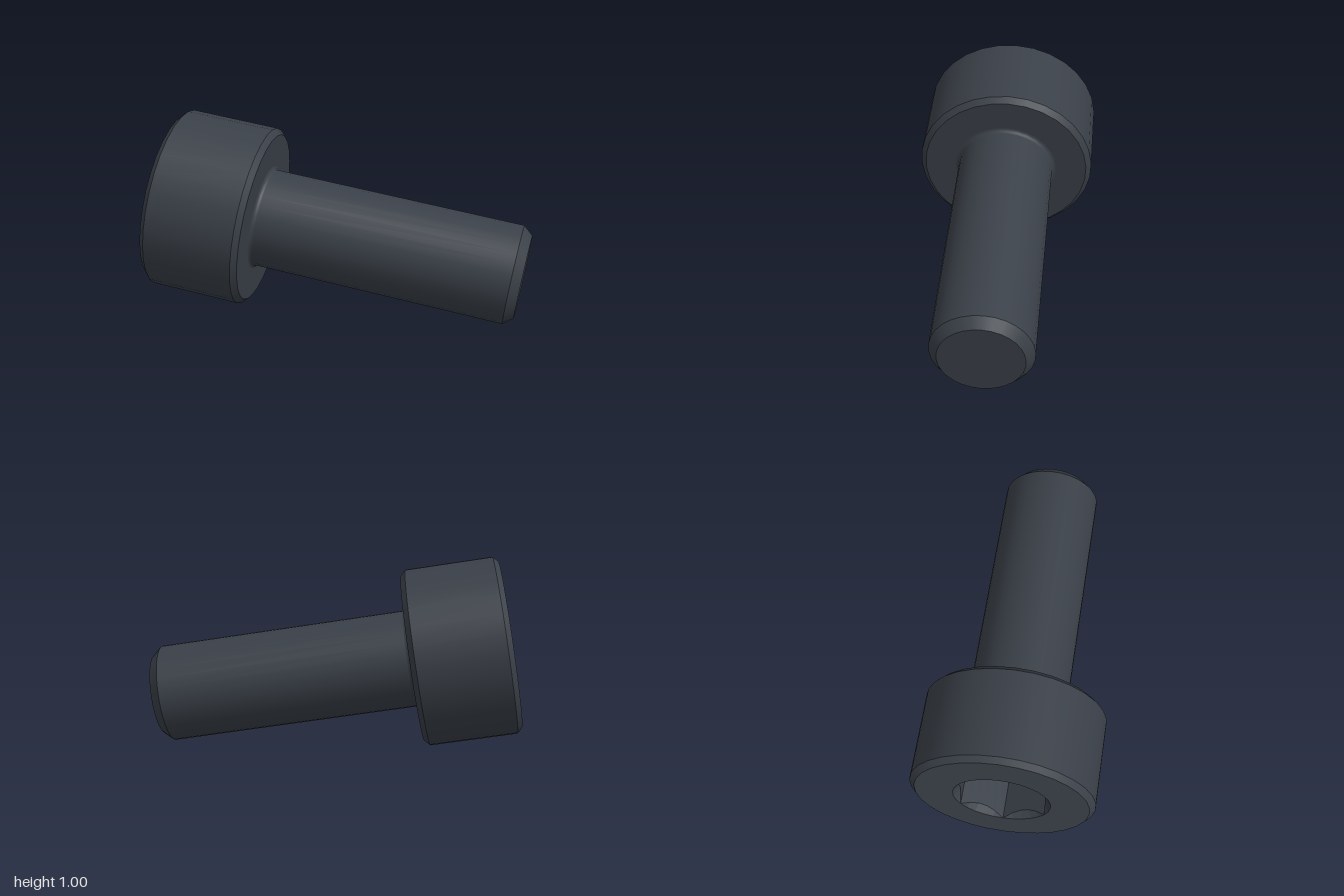
import * as THREE from 'three';

const SIDES = 30;
const PHASE = THREE.MathUtils.degToRad(-3);

// Distances along the bolt axis, and radii
const HEAD_R = 0.471, HEAD_FACE_R = 0.443, HEAD_END = -0.918, HEAD_BASE = -0.401, HEAD_BEVEL = 0.028;
const SHAFT_R = 0.257, TIP_R = 0.214, TIP_END = 0.978, TIP_BEVEL = 0.05, FILLET = 0.02;
const HEX_R = 0.247, SOCKET_DEPTH = 0.22;

// Turned band from [radius, axial position] points
function band(points) {
  return new THREE.LatheGeometry(points.map(([r, y]) => new THREE.Vector2(r, y)), SIDES, PHASE);
}

// Hexagonal pocket whose round, conical mouth cuts arcs into the six walls
function socketGeometry() {
  const floor = HEAD_END + SOCKET_DEPTH;
  const geo = band([[0, floor], [HEX_R, floor], [HEX_R, HEAD_END], [HEX_R, HEAD_END]]);
  const pos = geo.attributes.position;
  const sector = Math.PI / 3;
  for (let i = 0; i <= SIDES; i++) {
    const turn = (i / SIDES) * Math.PI * 2;
    const hexR = HEX_R * Math.cos(sector / 2) / Math.cos((turn % sector) - sector / 2);
    for (const row of [1, 2]) {
      const y = row === 1 ? floor : HEAD_END + (HEX_R - hexR) * 1.1;
      pos.setXYZ(i * 4 + row, hexR * Math.sin(turn + PHASE), y, hexR * Math.cos(turn + PHASE));
    }
  }
  const flat = geo.toNonIndexed();
  flat.computeVertexNormals();
  return flat;
}

export function createModel() {
  const model = new THREE.Group();
  model.name = 'socketHeadBolt';
  const steel = new THREE.MeshStandardMaterial({ color: 0x3a4048 });
  steel.name = 'blackened steel';

  const bolt = new THREE.Group();
  bolt.name = 'bolt';
  model.add(bolt);
  const add = (name, geometry) => {
    const mesh = new THREE.Mesh(geometry, steel);
    mesh.name = name;
    bolt.add(mesh);
  };

  // Head
  add('hexSocket', socketGeometry());
  add('headFace', band([[HEX_R, HEAD_END], [HEAD_FACE_R, HEAD_END]]));
  add('headOuterBevel', band([[HEAD_FACE_R, HEAD_END], [HEAD_R, HEAD_END + HEAD_BEVEL]]));
  add('headSide', band([[HEAD_R, HEAD_END + HEAD_BEVEL], [HEAD_R, HEAD_BASE - HEAD_BEVEL]]));
  add('headInnerBevel', band([[HEAD_R, HEAD_BASE - HEAD_BEVEL], [HEAD_FACE_R, HEAD_BASE]]));
  add('bearingFace', band([[HEAD_FACE_R, HEAD_BASE], [SHAFT_R + FILLET, HEAD_BASE]]));

  // Shaft, with a small fillet under the head
  const shaft = [];
  for (let i = 0; i <= 4; i++) {
    const a = (i / 4) * Math.PI / 2;
    shaft.push([SHAFT_R + FILLET * (1 - Math.sin(a)), HEAD_BASE + FILLET * (1 - Math.cos(a))]);
  }
  add('fillet', band(shaft));
  add('shaft', band([[SHAFT_R, HEAD_BASE + FILLET], [SHAFT_R, TIP_END - TIP_BEVEL]]));
  add('tipBevel', band([[SHAFT_R, TIP_END - TIP_BEVEL], [TIP_R, TIP_END]]));
  add('tipFace', band([[TIP_R, TIP_END], [0, TIP_END]]));

  // Lay the bolt along its tilted axis
  const axis = new THREE.Vector3(1, -0.16, 0.2143).normalize();
  const side = new THREE.Vector3().crossVectors(axis, new THREE.Vector3(0, 1, 0)).normalize();
  const up = new THREE.Vector3().crossVectors(side, axis);
  bolt.quaternion.setFromRotationMatrix(new THREE.Matrix4().makeBasis(side, axis, up));
  bolt.position.set(0, 0.403, 0.0985);
  return model;
}
